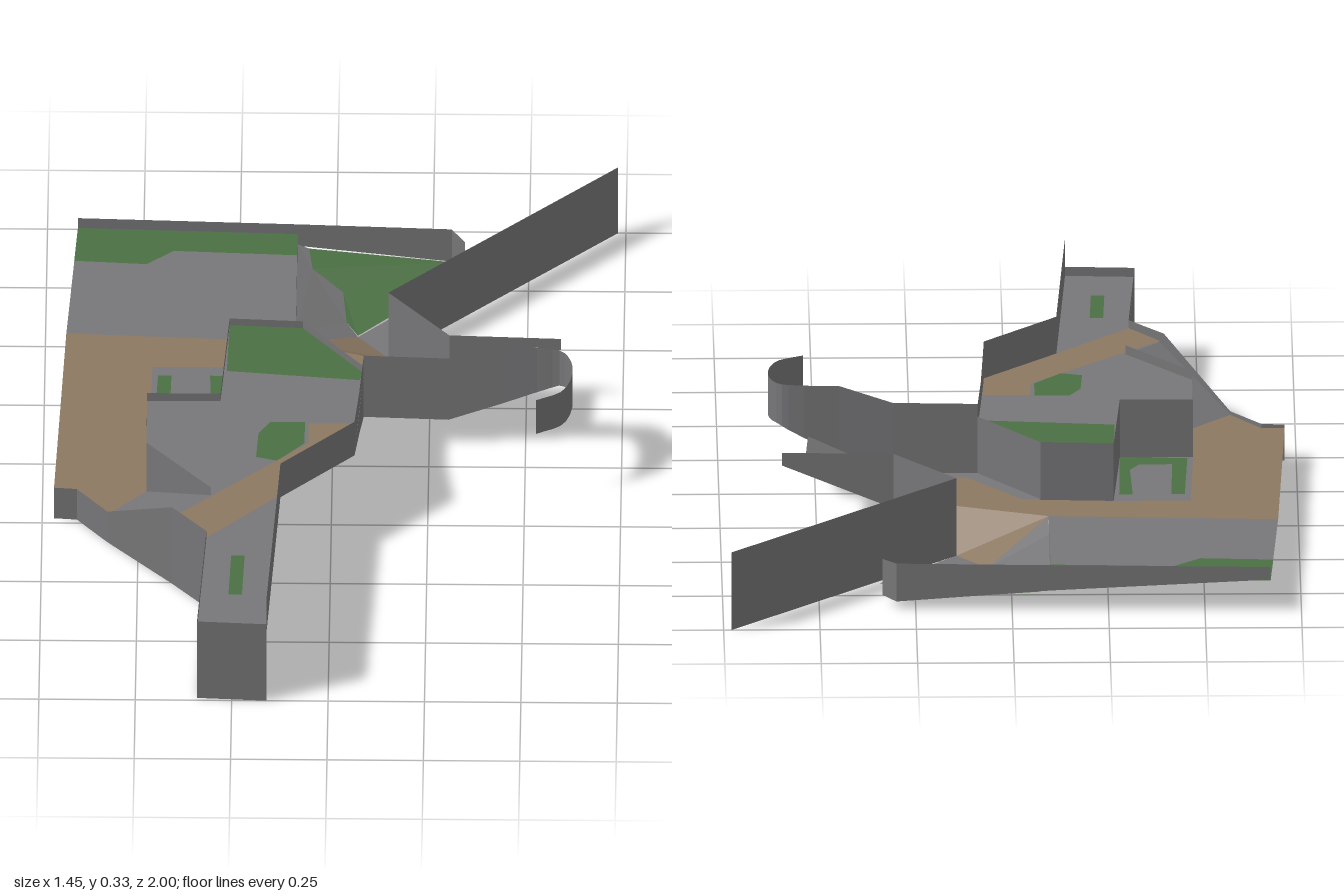
import * as THREE from 'three';

const material = (name, color) => {
  const m = new THREE.MeshStandardMaterial({ color, side: THREE.DoubleSide });
  m.name = name;
  return m;
};

export function createModel() {
  const group = new THREE.Group();
  const stone = material('stone grey', 0x777678);
  const grass = material('grass green', 0x4b7044);
  const dirt = material('dirt tan', 0x8c7862);

  const add = (name, mat, positions, index) => {
    let geo = new THREE.BufferGeometry();
    geo.setAttribute('position', new THREE.Float32BufferAttribute(positions, 3));
    geo.setIndex(index);
    geo = geo.toNonIndexed();
    geo.computeVertexNormals();
    const mesh = new THREE.Mesh(geo, mat);
    mesh.name = name;
    group.add(mesh);
  };

  // Ground sheet from an outline of [x, z, y]; y falls back to a common height
  const floor = (name, mat, pts, height = 0, lift = 0) => {
    const outline = pts.map(([x, z]) => new THREE.Vector2(x, -z));
    const index = [];
    for (const [a, b, c] of THREE.ShapeUtils.triangulateShape(outline, [])) {
      const upward = THREE.ShapeUtils.area([outline[a], outline[b], outline[c]]) > 0;
      index.push(...(upward ? [a, b, c] : [a, c, b]));
    }
    add(name, mat, pts.flatMap(([x, z, y = height]) => [x, y + lift, z]), index);
  };

  // Painted patch, seen on both faces of a ground sheet
  const patch = (name, mat, pts, height) => {
    for (const lift of [0.003, -0.003]) floor(name, mat, pts, height, lift);
  };

  // Upright sheet along a path of [x, z, bottom, top]
  const wall = (name, mat, path) => {
    const index = [];
    for (let i = 0; i < path.length - 1; i++) {
      const a = i * 2;
      index.push(a, a + 2, a + 1, a + 1, a + 2, a + 3);
    }
    add(name, mat, path.flatMap(([x, z, b, t]) => [x, b, z, x, t, z]), index);
  };

  // Lower ground: left walkway, crossing and the slope down to the lane
  const low = 0.09;
  floor('leftPath', dirt, [
    [-0.695, -0.44], [-0.10, -0.41], [-0.08, -0.29], [-0.27, -0.30], [-0.47, -0.30],
    [-0.48, 0.23], [-0.58, 0.33], [-0.66, 0.23], [-0.72, 0.23],
  ], low);
  floor('crossing', dirt, [[-0.10, -0.41], [0.30, -0.28], [0.30, -0.09], [0.08, -0.10], [-0.08, -0.29]], low);
  floor('crossingSlope', dirt, [[-0.10, -0.41, low], [0.06, -0.55, 0], [0.14, -0.46, 0]]);
  floor('crossingSlope', dirt, [[-0.10, -0.41, low], [0.14, -0.46, 0], [0.30, -0.28, low]]);
  floor('alcoveFloor', stone, [[-0.47, -0.30], [-0.27, -0.30], [-0.29, 0.02], [-0.48, 0.02]], low);
  patch('alcoveGrass', grass, [
    [-0.455, -0.26], [-0.42, -0.26], [-0.425, -0.04], [-0.34, -0.04], [-0.315, -0.08],
    [-0.32, -0.26], [-0.285, -0.26], [-0.29, 0.015], [-0.465, 0.005],
  ], low);
  patch('cliffFoot', stone, [
    [-0.08, -0.29], [-0.03, -0.29], [0.11, -0.13], [0.28, -0.13], [0.30, -0.09], [0.08, -0.10],
  ], low);
  patch('pathEdgeGrass', grass, [[0.30, -0.27], [0.30, -0.10], [0.275, -0.13], [0.28, -0.24]], low);
  patch('bankGrass', grass, [
    [0.14, -0.46, 0.004], [0.215, -0.375, 0.046], [0.19, -0.375, 0.054], [0.14, -0.435, 0.016],
  ]);

  // Back yard
  floor('backYard', stone, [[-0.695, -0.44], [-0.67, -0.885], [-0.10, -0.865], [-0.10, -0.41]], low);
  patch('backYardGrass', grass, [
    [-0.67, -0.885], [-0.10, -0.865], [-0.10, -0.775], [-0.42, -0.79], [-0.49, -0.733], [-0.678, -0.745],
  ], low);

  // Sunken corner with its ramp and the lane leading away
  floor('cornerRamp', stone, [
    [-0.10, -0.41, low], [0.06, -0.55, 0], [0.03, -0.60, 0.01], [0.02, -0.72, 0.015],
    [-0.06, -0.78, 0.045], [-0.07, -0.86, 0.05], [-0.10, -0.865, 0.06], [-0.10, -0.48, 0.065],
  ]);
  floor('cornerGrass', grass, [
    [0.06, -0.55, 0.004], [0.335, -0.80, 0.02], [0.30, -0.845, 0.02], [-0.07, -0.86, 0.05],
    [-0.06, -0.78, 0.045], [0.02, -0.72, 0.015], [0.03, -0.60, 0.01],
  ]);
  floor('lane', stone, [[0.06, -0.55], [0.14, -0.46], [0.34, -0.66], [0.27, -0.73], [0.25, -0.73]], 0);
  wall('yardStep', stone, [[-0.10, -0.865, 0.06, 0.12], [-0.10, -0.48, 0.065, low]]);
  wall('backRail', stone, [
    [-0.67, -0.885, low, 0.125], [-0.10, -0.865, 0.055, 0.125],
    [0.30, -0.848, 0.02, 0.125], [0.335, -0.80, 0.02, 0.12],
  ]);

  // Raised plateau and the south walkway
  const high = 0.225;
  floor('plateau', stone, [
    [-0.48, 0.23], [-0.48, 0.02], [-0.29, 0.02], [-0.27, -0.30], [-0.08, -0.29], [0.08, -0.10],
    [0.06, 0.24], [-0.13, 0.42], [-0.16, 1.0], [-0.34, 0.99], [-0.32, 0.60], [-0.40, 0.51], [-0.31, 0.42],
  ], high);
  patch('plateauGrass', grass, [
    [-0.27, -0.30], [-0.08, -0.29], [0.08, -0.10], [0.07, -0.07], [-0.275, -0.105],
  ], high);
  patch('plateauBush', grass, [
    [-0.19, 0.16], [-0.16, 0.11], [-0.07, 0.11], [-0.07, 0.20], [-0.14, 0.275], [-0.195, 0.26],
  ], high);
  patch('plateauDirt', dirt, [
    [-0.40, 0.51], [-0.32, 0.605], [-0.13, 0.42], [0.06, 0.24], [0.065, 0.115], [-0.06, 0.115], [-0.06, 0.20],
  ], high);
  patch('walkwayGrass', grass, [[-0.255, 0.68], [-0.22, 0.68], [-0.225, 0.845], [-0.26, 0.845]], high);
  floor('sideRamp', stone, [
    [-0.58, 0.33, low], [-0.48, 0.23, low], [-0.31, 0.42, high], [-0.40, 0.51, high],
  ]);
  wall('plateauCliff', stone, [
    [-0.31, 0.42, 0.22, 0.25], [-0.48, 0.23, low, 0.25], [-0.48, 0.02, low, 0.25],
    [-0.29, 0.02, low, 0.25], [-0.27, -0.30, low, 0.25], [-0.08, -0.29, low, 0.25],
    [0.08, -0.10, low, 0.25],
  ]);

  // Outer walls
  wall('westWall', stone, [
    [-0.16, 1.0, 0, 0.25], [-0.34, 0.99, 0, 0.25], [-0.32, 0.605, 0, 0.25], [-0.41, 0.505, 0, 0.25],
    [-0.58, 0.33, 0, 0.1], [-0.66, 0.235, 0, 0.1], [-0.72, 0.23, 0, 0.1],
  ]);
  wall('eastRail', stone, [
    [-0.16, 1.0, 0.22, 0.33], [-0.13, 0.42, 0.22, 0.33], [0.06, 0.24, 0.22, 0.33],
    [0.07, 0.06, 0.15, 0.285], [0.08, -0.10, 0.085, 0.285], [0.30, -0.09, 0.085, 0.285],
    [0.44, -0.083, 0.145, 0.33], [0.53, -0.08, 0.185, 0.33],
  ]);
  // Curled end of the east rail
  const curl = new THREE.CatmullRomCurve3([
    [0.53, -0.08], [0.595, -0.065], [0.623, 0], [0.60, 0.10], [0.53, 0.143],
  ].map(([x, z]) => new THREE.Vector3(x, 0, z))).getPoints(14);
  wall('railCurl', stone, curl.map((p, i) => [p.x, p.z, Math.min(0.22, 0.185 + i * 0.01), 0.33]));

  wall('northEastWall', stone, [
    [0.73, -1.0, 0, 0.215], [0.14, -0.46, 0, 0.215], [0.30, -0.28, 0.064, 0.215], [0.59, -0.268, 0.18, 0.215],
  ]);
  wall('wallGrass', grass, [[0.32, -0.274, 0.082, 0.11], [0.42, -0.27, 0.122, 0.165], [0.48, -0.267, 0.155, 0.18]]);

  // Rising platform on the right
  floor('eastPlatform', stone, [
    [0.30, -0.28, low], [0.53, -0.267, 0.19], [0.52, -0.08, 0.19], [0.30, -0.09, low],
  ]);

  return group;
}
